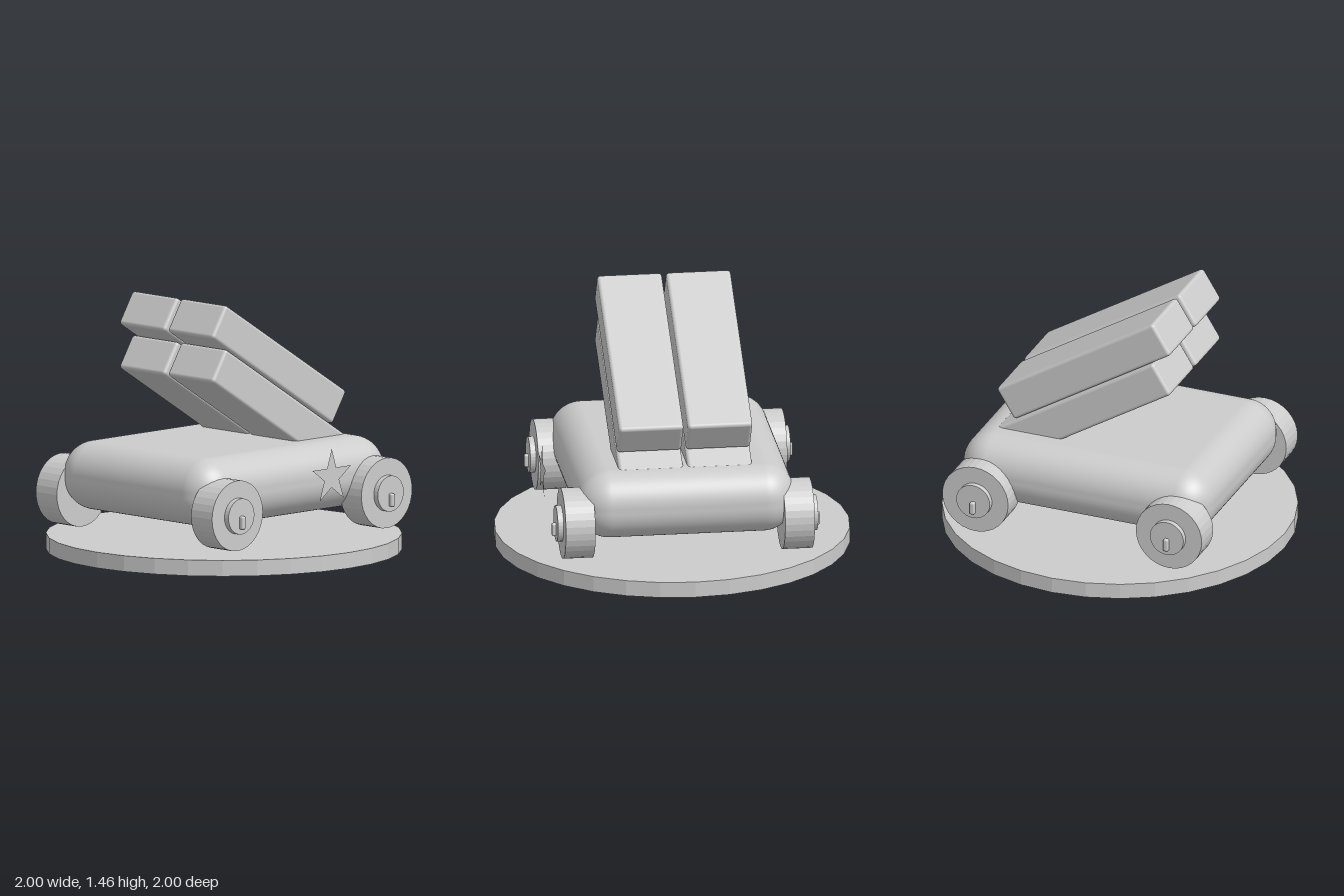
import * as THREE from 'three';
import { RoundedBoxGeometry } from 'three/addons/geometries/RoundedBoxGeometry.js';

export function createModel() {
  const model = new THREE.Group();
  const grey = new THREE.MeshStandardMaterial({ color: 0xcccccc });
  grey.name = 'light grey';
  // faceted and two-sided versions of the same grey
  const facetedGrey = new THREE.MeshStandardMaterial({ color: 0xcccccc, flatShading: true });
  facetedGrey.name = 'light grey faceted';
  const thinGrey = new THREE.MeshStandardMaterial({ color: 0xcccccc, side: THREE.DoubleSide });
  thinGrey.name = 'light grey thin';

  const add = (parent, name, geometry, material, x, y, z) => {
    const mesh = new THREE.Mesh(geometry, material);
    mesh.name = name;
    mesh.position.set(x, y, z);
    parent.add(mesh);
    return mesh;
  };

  // round display base
  add(model, 'base', new THREE.CylinderGeometry(1, 1, 0.09, 32), facetedGrey, 0, 0.045, 0);

  // soft-edged vehicle body
  add(model, 'body', new RoundedBoxGeometry(1.23, 0.39, 1.51, 8, 0.18), grey, 0, 0.435, 0);

  // wheels with hub and peg at each corner
  const wheelGeometry = new THREE.CylinderGeometry(0.2, 0.2, 0.168, 32).rotateZ(Math.PI / 2);
  const hubGeometry = new THREE.CylinderGeometry(0.102, 0.102, 0.1, 32).rotateZ(Math.PI / 2);
  const pegGeometry = new RoundedBoxGeometry(0.06, 0.075, 0.03, 3, 0.01);
  for (const side of [1, -1]) {
    for (const end of [1, -1]) {
      const corner = new THREE.Group();
      corner.name = `${end > 0 ? 'front' : 'rear'}${side > 0 ? 'Left' : 'Right'}Wheel`;
      corner.position.set(0, 0.33, end * 0.588);
      add(corner, 'wheel', wheelGeometry, facetedGrey, side * 0.621, 0, 0);
      add(corner, 'hub', hubGeometry, facetedGrey, side * 0.687, 0, 0);
      add(corner, 'peg', pegGeometry, grey, side * 0.73, -0.035, 0);
      model.add(corner);
    }
  }

  // two by two stack of tilted launcher boxes
  const tubeGeometry = new RoundedBoxGeometry(0.366, 0.208, 1.122, 4, 0.02);
  for (const x of [-0.195, 0.195]) {
    for (const y of [0.83, 1.08]) {
      const tube = add(model, 'launcherBox', tubeGeometry, grey, x, y, -0.068);
      tube.rotation.x = -THREE.MathUtils.degToRad(32);
    }
  }

  // flat star beside the left flank
  const points = [];
  for (let i = 0; i < 10; i++) {
    const r = i % 2 ? 0.061 : 0.16;
    const a = Math.PI / 2 + (i * Math.PI) / 5;
    points.push(new THREE.Vector2(r * Math.cos(a), r * Math.sin(a)));
  }
  const star = add(model, 'star', new THREE.ShapeGeometry(new THREE.Shape(points)), thinGrey, 0.75, 0.48, -0.11);
  star.rotation.y = Math.PI / 2;

  return model;
}
